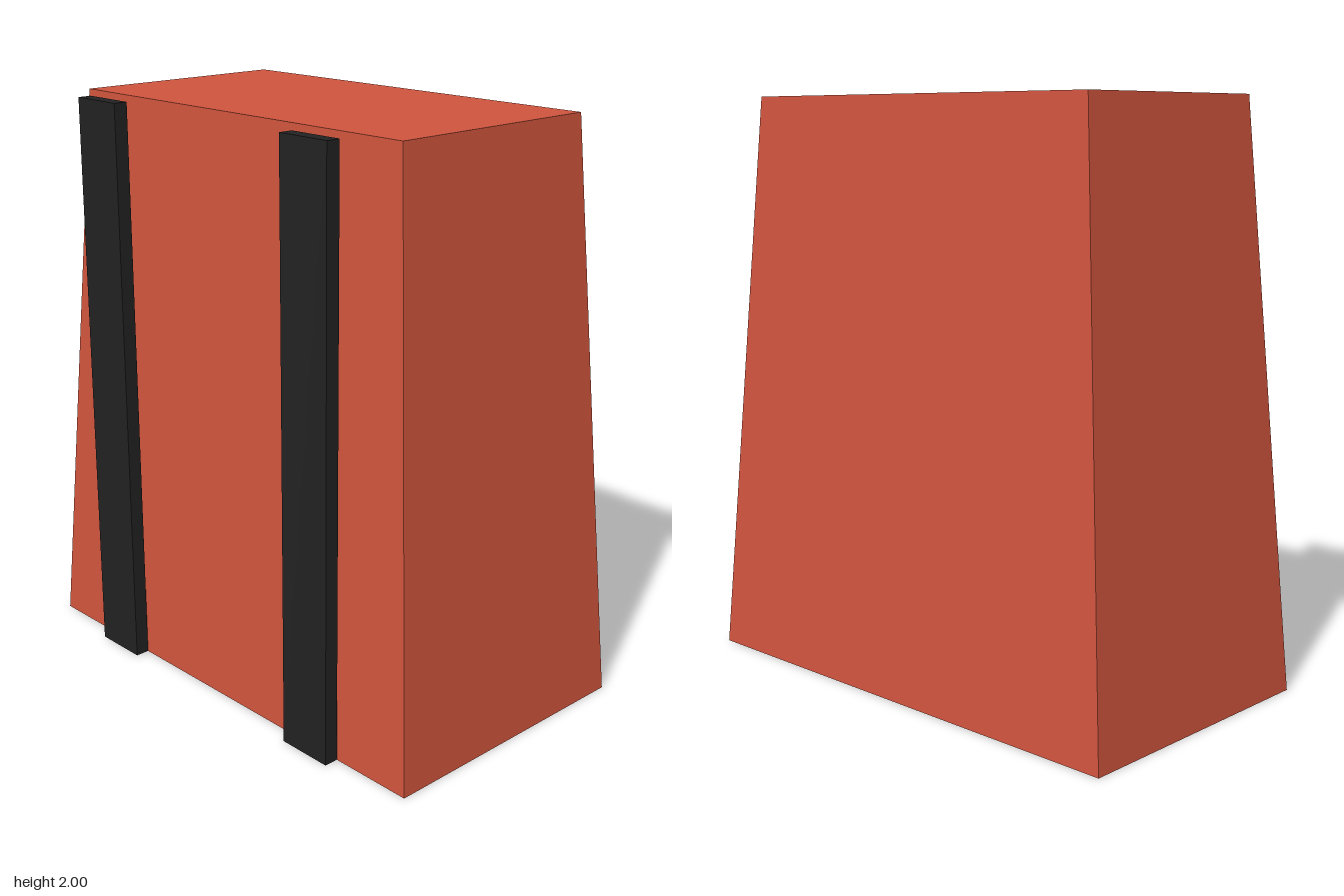
import * as THREE from 'three';

export function createModel() {
  const model = new THREE.Group();
  const red = new THREE.MeshStandardMaterial({ color: 0xcf543d });
  red.name = 'red fabric';
  const black = new THREE.MeshStandardMaterial({ color: 0x222222 });
  black.name = 'black strap';

  // Body: a box whose upper face is drawn in on all four sides
  const bodyGeometry = new THREE.BoxGeometry(1.8, 2, 1);
  const position = bodyGeometry.attributes.position;
  for (let i = 0; i < position.count; i++) {
    if (position.getY(i) > 0) {
      position.setX(i, Math.sign(position.getX(i)) * 0.75);
      position.setZ(i, Math.sign(position.getZ(i)) * 0.4);
    }
  }
  bodyGeometry.computeVertexNormals();
  const body = new THREE.Mesh(bodyGeometry, red);
  body.name = 'body';
  body.position.set(0, 1, -0.025);
  model.add(body);

  // Two upright straps along the front
  for (const [name, side] of [['leftStrap', 1], ['rightStrap', -1]]) {
    const strap = new THREE.Mesh(new THREE.BoxGeometry(0.2, 2, 0.05), black);
    strap.name = name;
    strap.position.set(side * 0.5, 1, 0.5);
    model.add(strap);
  }

  return model;
}
